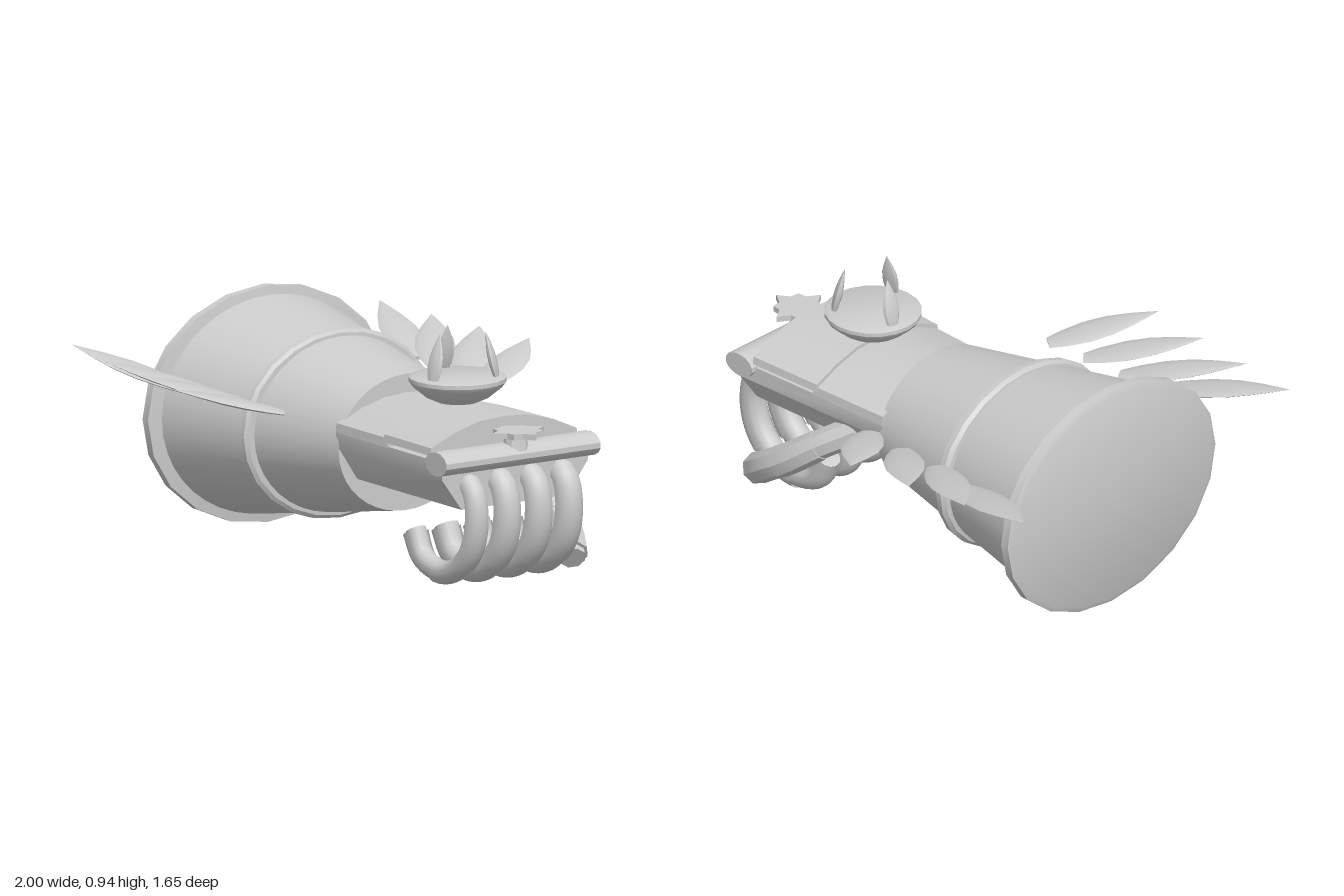
import * as THREE from 'three';
import { toCreasedNormals } from 'three/addons/utils/BufferGeometryUtils.js';

const V = (x, y, z) => new THREE.Vector3(x, y, z);

export function createModel() {
  const group = new THREE.Group();
  const steel = new THREE.MeshStandardMaterial({ color: 0xcccccc, side: THREE.DoubleSide });
  steel.name = 'steel';

  const add = (name, geometry, crease = 0.6) => {
    const mesh = new THREE.Mesh(toCreasedNormals(geometry, crease), steel);
    mesh.name = name;
    group.add(mesh);
    return mesh;
  };

  // Skin a row of cross-sections; closed sections also get end caps
  const loft = (rings, closed = true) => {
    const pos = [];
    const tri = (a, b, c) => pos.push(...a.toArray(), ...b.toArray(), ...c.toArray());
    const n = rings[0].length;
    for (let i = 0; i < rings.length - 1; i++) {
      for (let j = 0; j < (closed ? n : n - 1); j++) {
        const k = (j + 1) % n;
        const a = rings[i][j], b = rings[i][k], c = rings[i + 1][k], d = rings[i + 1][j];
        tri(a, b, c);
        tri(a, c, d);
      }
    }
    if (closed) {
      [rings[0], rings[rings.length - 1]].forEach((ring, end) => {
        const mid = ring.reduce((s, p) => s.add(p), V(0, 0, 0)).divideScalar(n);
        for (let j = 0; j < n; j++) {
          const k = (j + 1) % n;
          if (end) tri(mid, ring[j], ring[k]);
          else tri(mid, ring[k], ring[j]);
        }
      });
    }
    const g = new THREE.BufferGeometry();
    g.setAttribute('position', new THREE.Float32BufferAttribute(pos, 3));
    return g;
  };

  // Sweep a circle, or an outward-facing arc of half-angle `arc`, along a curve
  const sweep = (curve, t0, t1, r0, r1, arc = Math.PI, steps = 12, sides = 12) => {
    const closed = arc === Math.PI;
    const rings = [];
    for (let i = 0; i <= steps; i++) {
      const f = i / steps, t = t0 + (t1 - t0) * f, r = r0 + (r1 - r0) * f;
      const p = curve.getPointAt(t), T = curve.getTangentAt(t);
      const N = V(0, 0, 1).cross(T).normalize(), B = T.clone().cross(N);
      const ring = [];
      for (let j = 0; j < sides + (closed ? 0 : 1); j++) {
        const a = -arc + 2 * arc * j / sides;
        ring.push(p.clone().addScaledVector(N, r * Math.cos(a)).addScaledVector(B, r * Math.sin(a)));
      }
      rings.push(ring);
    }
    return loft(rings, closed);
  };

  // Pointed blade with a lens section, used for feathers and spikes
  const blade = (base, tip, across, width, thick) => {
    const axis = tip.clone().sub(base);
    const W = across.clone().normalize();
    const N = axis.clone().cross(W).normalize();
    const profile = [[0, 0.5], [0.15, 0.8], [0.35, 1], [0.55, 0.93], [0.75, 0.6], [0.9, 0.25], [1, 0.01]];
    return loft(profile.map(([t, s]) => Array.from({ length: 10 }, (_, j) => {
      const a = j / 10 * Math.PI * 2;
      return base.clone().addScaledVector(axis, t)
        .addScaledVector(W, Math.cos(a) * s * width / 2)
        .addScaledVector(N, Math.sin(a) * s * thick / 2);
    })));
  };

  // Oval turned part along x, from [x, half-depth] points
  const turned = (name, profile, ratio, sides) => {
    const g = new THREE.LatheGeometry(profile.map(([x, r]) => new THREE.Vector2(r, x)), sides);
    g.rotateZ(-Math.PI / 2).scale(1, ratio, 1).translate(0, 0.46, 0);
    return add(name, g, 0.5);
  };

  // Forearm guard with its rim and band
  turned('forearm', [[-0.74, 0], [-0.74, 0.5], [0.16, 0.31], [0.16, 0]], 0.84, 40);
  turned('forearmRim', [[-0.77, 0], [-0.77, 0.53], [-0.76, 0.555], [-0.725, 0.555], [-0.717, 0.49]], 0.815, 20);
  turned('forearmBand', [[-0.315, 0.4], [-0.31, 0.43], [-0.295, 0.443], [-0.27, 0.44], [-0.26, 0.425], [-0.258, 0.39]], 0.82, 24);

  // Hand: palm block and two arched back plates
  const prism = (x0, x1, s0, s1, section) =>
    loft([[x0, s0], [x1, s1]].map(([x, s]) => section.map(([z, y]) => V(x, y, z * s))));
  add('palm', prism(0.14, 0.86, 0.93, 1.02,
    [[-0.33, 0.535], [-0.33, 0.47], [-0.24, 0.345], [0.24, 0.345], [0.33, 0.47], [0.33, 0.535]]));
  const arch = (low, lift) => {
    const half = [[0.33, low], [0.325, 0.565 + lift], [0.22, 0.612 + lift], [0.11, 0.642 + lift]];
    return [...half, [0, 0.65 + lift], ...half.map(([z, y]) => [-z, y]).reverse()];
  };
  add('rearBackPlate', prism(0.14, 0.49, 0.94, 0.98, arch(0.53, 0)));
  add('frontBackPlate', prism(0.47, 0.79, 0.99, 1.03, arch(0.55, 0.014)));

  // Knuckle bar across the front of the hand
  const bar = new THREE.CylinderGeometry(1, 1, 0.71, 14);
  bar.rotateX(Math.PI / 2).scale(0.07, 0.046, 1).translate(0.848, 0.53, 0);
  add('knuckleBar', bar);

  // Thin star ornament over the bar
  const star = new THREE.Shape();
  for (let i = 0; i < 16; i++) {
    const a = i / 16 * Math.PI * 2;
    const r = i % 2 ? 0.078 : i % 4 ? 0.095 : 0.118;
    star[i ? 'lineTo' : 'moveTo'](Math.cos(a) * r, Math.sin(a) * r);
  }
  const starGeo = new THREE.ExtrudeGeometry(star, { depth: 0.022, bevelEnabled: false });
  starGeo.rotateX(-Math.PI / 2).translate(0.882, 0.604, 0);
  add('starOrnament', starGeo);
  const starStem = new THREE.CylinderGeometry(0.04, 0.05, 0.06, 10);
  starStem.translate(0.865, 0.58, 0);
  add('starMount', starStem);

  // Four curled fingers with overlapping outer plates
  [0.21, 0.07, -0.075, -0.215].forEach((z, i) => {
    const path = new THREE.CatmullRomCurve3([
      V(0.8, 0.46, z), V(0.88, 0.42, z), V(0.905, 0.31, z), V(0.87, 0.19, z),
      V(0.78, 0.105, z), V(0.68, 0.08, z), V(0.57, 0.115, z), V(0.515, 0.21, z)]);
    const r = i === 0 ? 0.04 : 0.048;
    add('finger', sweep(path, 0, 1, r, r, Math.PI, 24));
    [[0.08, 0.5], [0.47, 0.73], [0.7, 0.99]].forEach(([a, b]) =>
      add('fingerPlate', sweep(path, a, b, r + 0.004, r + 0.011, 1.75, 10)));
  });

  // Thumb crossing under the hand
  const thumb = new THREE.CatmullRomCurve3([
    V(0.32, 0.42, -0.25), V(0.44, 0.34, -0.33), V(0.56, 0.25, -0.37), V(0.68, 0.17, -0.365), V(0.8, 0.085, -0.31)]);
  add('thumb', sweep(thumb, 0, 1, 0.058, 0.05, Math.PI, 16, 8));
  [[0.28, 0.62], [0.6, 0.96]].forEach(([a, b]) =>
    add('thumbPlate', sweep(thumb, a, b, 0.06, 0.063, Math.PI, 6, 8)));

  // Dish on the back of the hand, ringed by three spikes
  const dish = new THREE.LatheGeometry([[0, 0.66], [0.08, 0.672], [0.12, 0.69], [0.175, 0.735], [0.184, 0.75],
    [0.184, 0.765], [0.17, 0.772], [0, 0.772]].map(([r, y]) => new THREE.Vector2(r, y)), 20);
  dish.translate(0.492, 0, 0);
  add('dish', dish, 0.5);
  [195, 313, 75].forEach((deg) => {
    const a = deg * Math.PI / 180, c = Math.cos(a), s = Math.sin(a);
    add('dishSpike', blade(V(0.492 + 0.15 * c, 0.755, 0.15 * s), V(0.492 + 0.105 * c, 0.943, 0.105 * s),
      V(-s, 0, c), 0.068, 0.032));
  });

  // Four swept feathers on each side: root x, root z, tip x, tip y, tip z
  [[-0.5, 0.53, -1, 0.725, 0.71], [-0.32, 0.49, -0.73, 0.712, 0.755],
    [-0.135, 0.487, -0.47, 0.705, 0.79], [0.04, 0.475, -0.2, 0.7, 0.825]].forEach(([x0, z0, x1, y1, z1]) => {
    for (const side of [1, -1]) {
      const base = V(x0, 0.608, z0 * side), tip = V(x1, y1, z1 * side);
      const across = V(tip.z - base.z, 0, base.x - tip.x);
      add(side > 0 ? 'frontFeather' : 'backFeather', blade(base, tip, across, 0.155, 0.028));
    }
  });

  return group;
}
